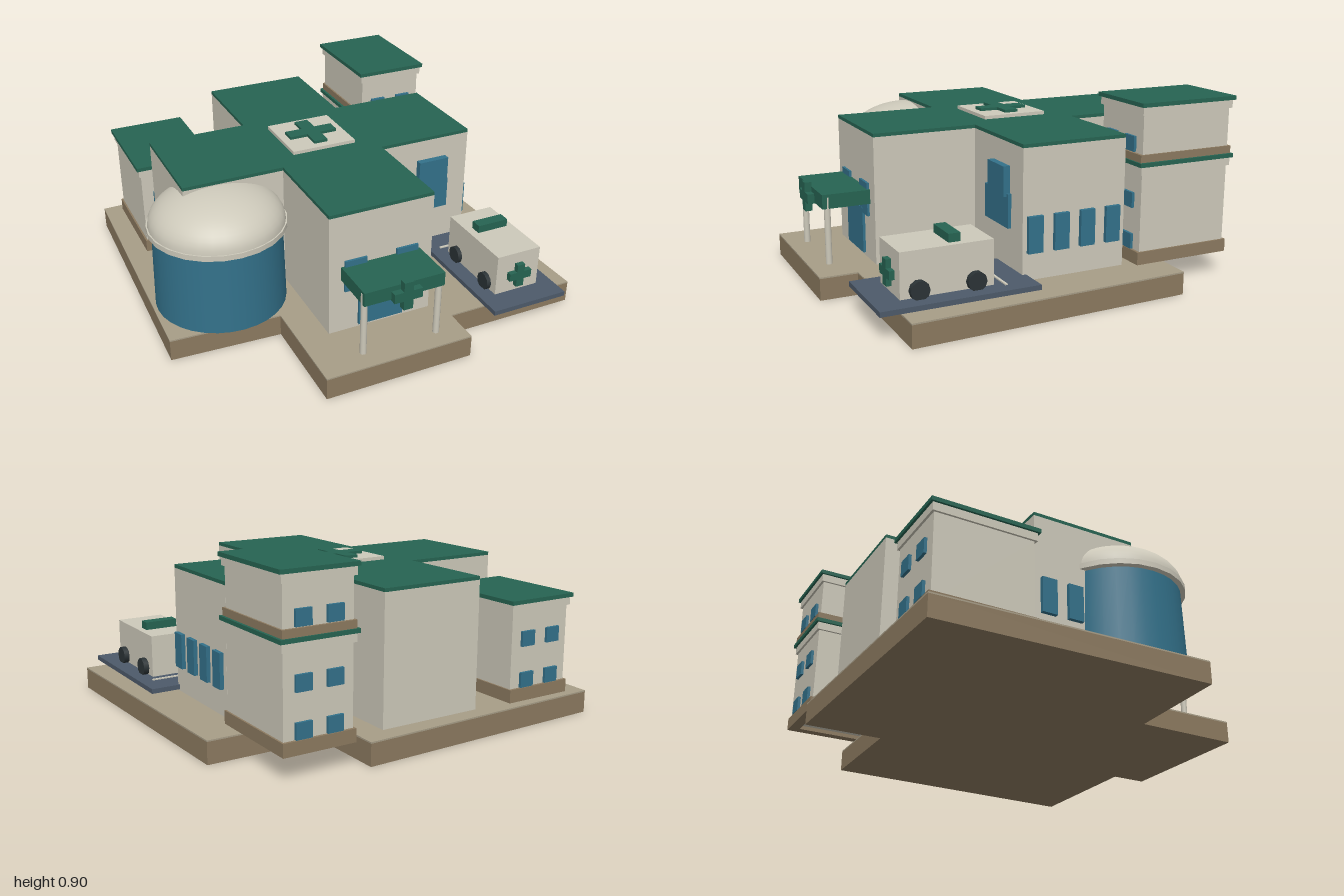
import * as THREE from 'three';

const mat = (color) => new THREE.MeshStandardMaterial({ color });
const MAT = {
  wall: mat(0xcdc9ba), green: mat(0x266452), blue: mat(0x33718a), brown: mat(0x8c7a60),
  tan: mat(0xa79d87), pad: mat(0x4d5a6a), dark: mat(0x2b3336),
};

export function createModel() {
  const model = new THREE.Group();
  model.name = 'hospital';

  const add = (parent, name, geometry, material) => {
    const mesh = new THREE.Mesh(geometry, material);
    mesh.name = name;
    parent.add(mesh);
    return mesh;
  };
  // Box given by its limits on each axis
  const box = (parent, name, material, x0, x1, y0, y1, z0, z1) => {
    const g = new THREE.BoxGeometry(x1 - x0, y1 - y0, z1 - z0);
    g.translate((x0 + x1) / 2, (y0 + y1) / 2, (z0 + z1) / 2);
    return add(parent, name, g, material);
  };
  const group = (name) => {
    const g = new THREE.Group();
    g.name = name;
    model.add(g);
    return g;
  };
  const toShape = (pts) => new THREE.Shape(pts.map(([x, y]) => new THREE.Vector2(x, y)));
  // Floor-plan outline in (x, z), extruded from y0 to y1
  const slab = (shape, y0, y1) => {
    const g = new THREE.ExtrudeGeometry(shape, { depth: y1 - y0, bevelEnabled: false });
    return g.rotateX(Math.PI / 2).translate(0, y1, 0);
  };
  const rect = (x0, x1, z0, z1) => [[x0, z0], [x1, z0], [x1, z1], [x0, z1]];
  // Outline of two crossing bars: wide bar (x0..x1, z1..z2) and long bar (xa..xb, z0..z3)
  const plus = (x0, xa, xb, x1, z0, z1, z2, z3) => toShape([
    [xa, z0], [xb, z0], [xb, z1], [x1, z1], [x1, z2], [xb, z2],
    [xb, z3], [xa, z3], [xa, z2], [x0, z2], [x0, z1], [xa, z1],
  ]);
  const crossAt = (cx, cy, r, w) => plus(cx - r, cx - w, cx + w, cx + r, cy - r, cy - w, cy + w, cy + r);
  const frontCross = (parent, name, cx, cy, r, w, z0, z1) => {
    const g = new THREE.ExtrudeGeometry(crossAt(cx, cy, r, w), { depth: z1 - z0, bevelEnabled: false });
    return add(parent, name, g.translate(0, 0, z0), MAT.green);
  };

  // Ground slab
  const ground = toShape([
    [-0.97, -0.955], [0.375, -0.99], [0.375, -0.595], [0.96, -0.59], [1, 0.8],
    [0.305, 0.8], [0.305, 0.985], [-0.45, 0.985], [-0.45, 0.45], [-1, 0.42],
  ]);
  add(model, 'groundSlab', slab(ground, 0, 0.106), MAT.brown);
  add(model, 'groundTop', slab(ground, 0.106, 0.113), MAT.tan);

  // Cross-shaped main building
  const main = group('mainBuilding');
  const plan = plus(-0.81, -0.3, 0.24, 0.75, -0.89, -0.38, 0.16, 0.685);
  add(main, 'mainWalls', slab(plan, 0.11, 0.738), MAT.wall);
  add(main, 'mainRoof', slab(plan, 0.738, 0.755), MAT.green);
  box(main, 'roofPad', MAT.wall, -0.2, 0.14, 0.755, 0.772, -0.28, 0.058);
  add(main, 'roofCross', slab(crossAt(-0.03, -0.112, 0.128, 0.036), 0.772, 0.786), MAT.green);

  // Windows along both side walls
  for (let i = 0; i < 4; i++) {
    const z = 0.1 - i * 0.137;
    box(main, 'rightWindow', MAT.blue, 0.74, 0.77, 0.245, 0.42, z - 0.038, z + 0.038);
    box(main, 'leftWindow', MAT.blue, -0.83, -0.8, 0.245, 0.42, z - 0.038, z + 0.038);
  }
  box(main, 'wideWindow', MAT.blue, 0.39, 0.635, 0.335, 0.5, 0.15, 0.177);
  box(main, 'tallWindow', MAT.blue, 0.452, 0.62, 0.485, 0.63, 0.15, 0.194);

  // Entrance: door, windows, canopy on posts
  const entrance = group('entrance');
  box(entrance, 'door', MAT.blue, -0.148, 0.088, 0.13, 0.36, 0.675, 0.698);
  for (const x of [-0.165, 0.105]) {
    box(entrance, 'entranceWindow', MAT.blue, x - 0.057, x + 0.057, 0.335, 0.5, 0.675, 0.697);
  }
  box(entrance, 'canopy', MAT.green, -0.238, 0.175, 0.4, 0.47, 0.68, 0.922);
  for (const x of [-0.225, 0.16]) {
    const post = new THREE.CylinderGeometry(0.016, 0.016, 0.33, 12);
    add(entrance, 'canopyPost', post, MAT.wall).position.set(x, 0.29, 0.895);
  }
  frontCross(entrance, 'canopyCross', -0.031, 0.42, 0.072, 0.024, 0.92, 0.955);

  // Domed rotunda
  const rotunda = group('rotunda');
  rotunda.position.set(-0.65, 0, 0.16);
  add(rotunda, 'rotundaWall', new THREE.CylinderGeometry(0.317, 0.327, 0.405, 32), MAT.blue)
    .position.y = 0.3175;
  const profile = [[0, 0.525], [0.34, 0.525], [0.34, 0.55], [0.333, 0.55]];
  add(rotunda, 'domeRim', new THREE.CylinderGeometry(0.341, 0.341, 0.027, 24), MAT.wall)
    .position.y = 0.537;
  profile.length = 0;
  for (let i = 0; i <= 14; i++) {
    const a = (i / 14) * Math.PI / 2;
    profile.push(new THREE.Vector2(0.333 * Math.cos(a), 0.55 + 0.184 * Math.sin(a)));
  }
  add(rotunda, 'dome', new THREE.LatheGeometry(profile, 32), MAT.wall);

  // One storey block with cornice, roof and rows of windows on front and back
  const block = (parent, x0, x1, z0, z1, y0, plinthTop, roofTop, rows) => {
    const plinth = toShape(rect(x0 + 0.013, x1 - 0.013, z0 + 0.008, z1 - 0.008));
    plinth.holes.push(new THREE.Path(
      rect(x0 + 0.06, x1 - 0.06, z0 + 0.06, z1 - 0.06).map(([x, z]) => new THREE.Vector2(x, z))));
    add(parent, 'plinth', slab(plinth, y0, plinthTop), MAT.brown);
    const inset = (name, m, d, a, b) => box(parent, name, m, x0 + d, x1 - d, a, b, z0 + d, z1 - d);
    inset('blockWalls', MAT.wall, 0.022, y0 + 0.02, roofTop - 0.06);
    inset('cornice', MAT.wall, 0.011, roofTop - 0.06, roofTop - 0.02);
    inset('blockRoof', MAT.green, 0, roofTop - 0.02, roofTop);
    for (const y of rows) {
      for (const f of [0.3, 0.7]) {
        const x = x0 + f * (x1 - x0);
        box(parent, 'backWindow', MAT.blue, x - 0.04, x + 0.04, y, y + 0.075, z0 + 0.008, z0 + 0.03);
        box(parent, 'frontWindow', MAT.blue, x - 0.04, x + 0.04, y, y + 0.075, z1 - 0.03, z1 - 0.008);
      }
    }
  };
  const tower = group('tower');
  block(tower, 0.418, 0.808, -0.967, -0.43, 0.115, 0.178, 0.618, [0.18, 0.385]);
  block(tower, 0.418, 0.808, -0.967, -0.43, 0.618, 0.655, 0.903, [0.66]);
  block(group('annex'), -0.887, -0.487, -0.92, -0.388, 0.113, 0.178, 0.618, [0.18, 0.385]);

  // Parking bay and ambulance
  const bay = group('parkingBay');
  box(bay, 'bayPad', MAT.pad, 0.488, 0.9, 0.12, 0.144, 0.14, 0.902);
  box(bay, 'bayStripe', MAT.wall, 0.547, 0.837, 0.14, 0.15, 0.278, 0.29);
  const van = group('ambulance');
  box(van, 'vanBody', MAT.wall, 0.567, 0.812, 0.146, 0.36, 0.335, 0.78);
  box(van, 'beacon', MAT.green, 0.608, 0.778, 0.36, 0.4, 0.48, 0.538);
  frontCross(van, 'vanCross', 0.692, 0.24, 0.062, 0.021, 0.778, 0.806);
  for (const z of [0.43, 0.7]) {
    for (const x of [0.56, 0.825]) {
      const wheel = new THREE.CylinderGeometry(0.046, 0.046, 0.03, 10).rotateZ(Math.PI / 2);
      add(van, 'wheel', wheel, MAT.dark).position.set(x, 0.182, z - 0.005);
    }
  }
  return model;
}
